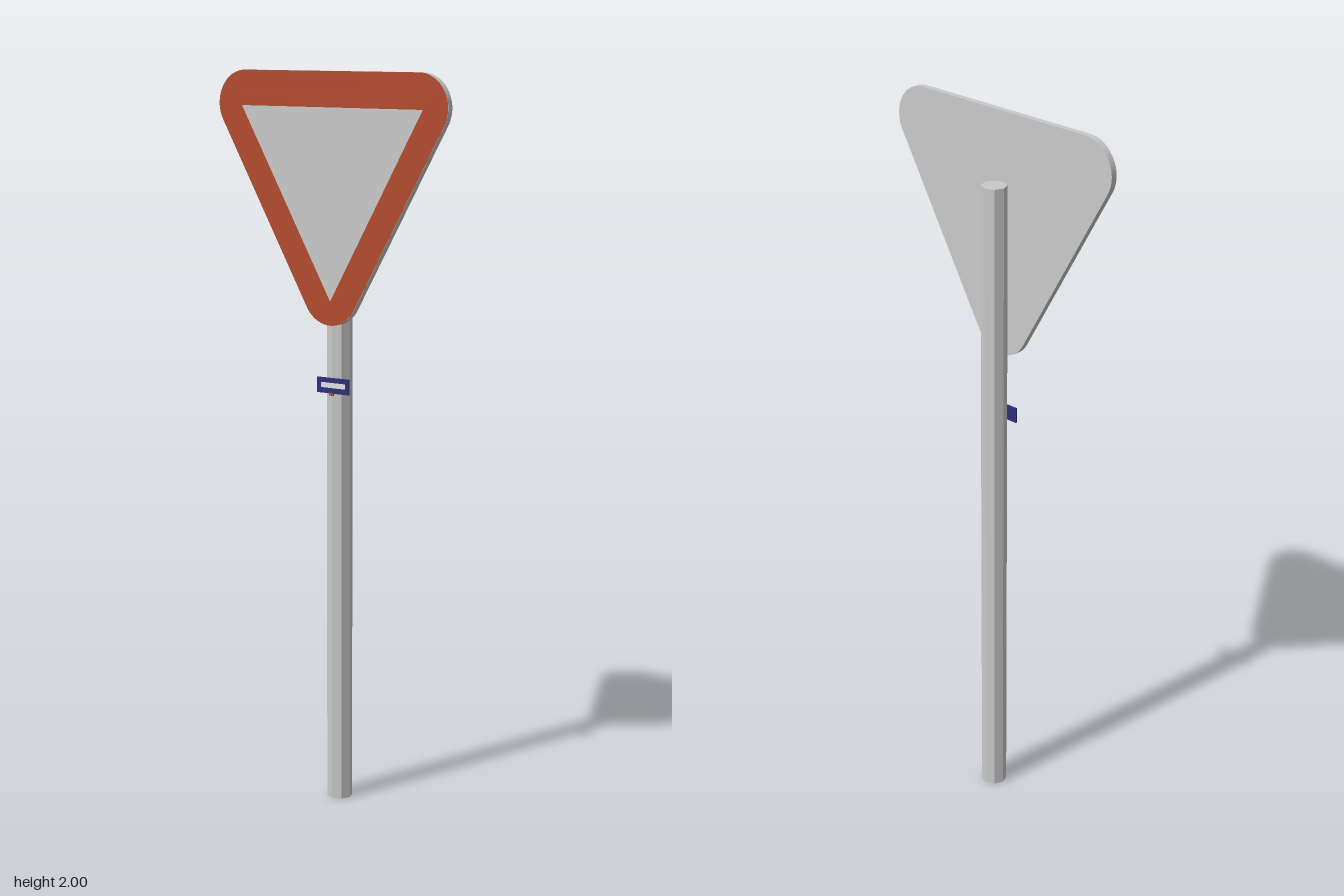
import * as THREE from 'three';

const grey = new THREE.MeshStandardMaterial({ name: 'galvanised grey', color: 0xcacaca });
const red = new THREE.MeshStandardMaterial({ name: 'border red', color: 0xb24a2c });
const navy = new THREE.MeshStandardMaterial({ name: 'badge navy', color: 0x2c2f78 });
const white = new THREE.MeshStandardMaterial({ name: 'badge white', color: 0xe4e4ea });
grey.flatShading = false;

// Downward-pointing triangle with rounded corners
function roundedTriangle(r) {
  const centres = [[0.285, 1.91], [-0.285, 1.91], [0, 1.416]];
  const shape = new THREE.Shape();
  centres.forEach(([x, y], i) => {
    const start = -Math.PI / 6 + i * Math.PI * 2 / 3;
    shape.absarc(x, y, r, start, start + Math.PI * 2 / 3, false);
  });
  shape.closePath();
  return shape;
}

const innerCorners = () => [[0.297, 1.905], [-0.297, 1.905], [0, 1.391]].map(([x, y]) => new THREE.Vector2(x, y));

export function createModel() {
  const group = new THREE.Group();
  group.name = 'yieldSign';
  const add = (name, geometry, material, x = 0, y = 0, z = 0) => {
    const mesh = new THREE.Mesh(geometry, material);
    mesh.name = name;
    mesh.position.set(x, y, z);
    group.add(mesh);
    return mesh;
  };

  // Octagonal post, slightly off-centre behind the plate
  const post = new THREE.CylinderGeometry(0.035, 0.035, 1.81, 8).toNonIndexed();
  post.computeVertexNormals();
  add('post', post, grey, -0.007, 0.905, -0.01);

  // Sign plate with bare metal back and rim
  const plate = new THREE.ExtrudeGeometry(roundedTriangle(0.09), { depth: 0.018, bevelEnabled: false, curveSegments: 16 });
  add('signPlate', plate, grey, 0, 0, 0.024);

  // Painted face: red border around a pale triangle
  const border = roundedTriangle(0.09);
  border.holes.push(new THREE.Path(innerCorners().reverse()));
  add('signBorder', new THREE.ShapeGeometry(border, 16), red, 0, 0, 0.043);
  add('signCentre', new THREE.ShapeGeometry(new THREE.Shape(innerCorners())), grey, 0, 0, 0.043);

  // Small badge on the post with a plain pale band and a red tab
  add('badge', new THREE.BoxGeometry(0.106, 0.042, 0.005), navy, -0.001, 1.161, 0.0275);
  add('badgeBand', new THREE.BoxGeometry(0.08, 0.014, 0.001), white, 0.001, 1.162, 0.0305);
  add('badgeTab', new THREE.BoxGeometry(0.014, 0.008, 0.004), red, -0.006, 1.138, 0.0285);

  return group;
}
